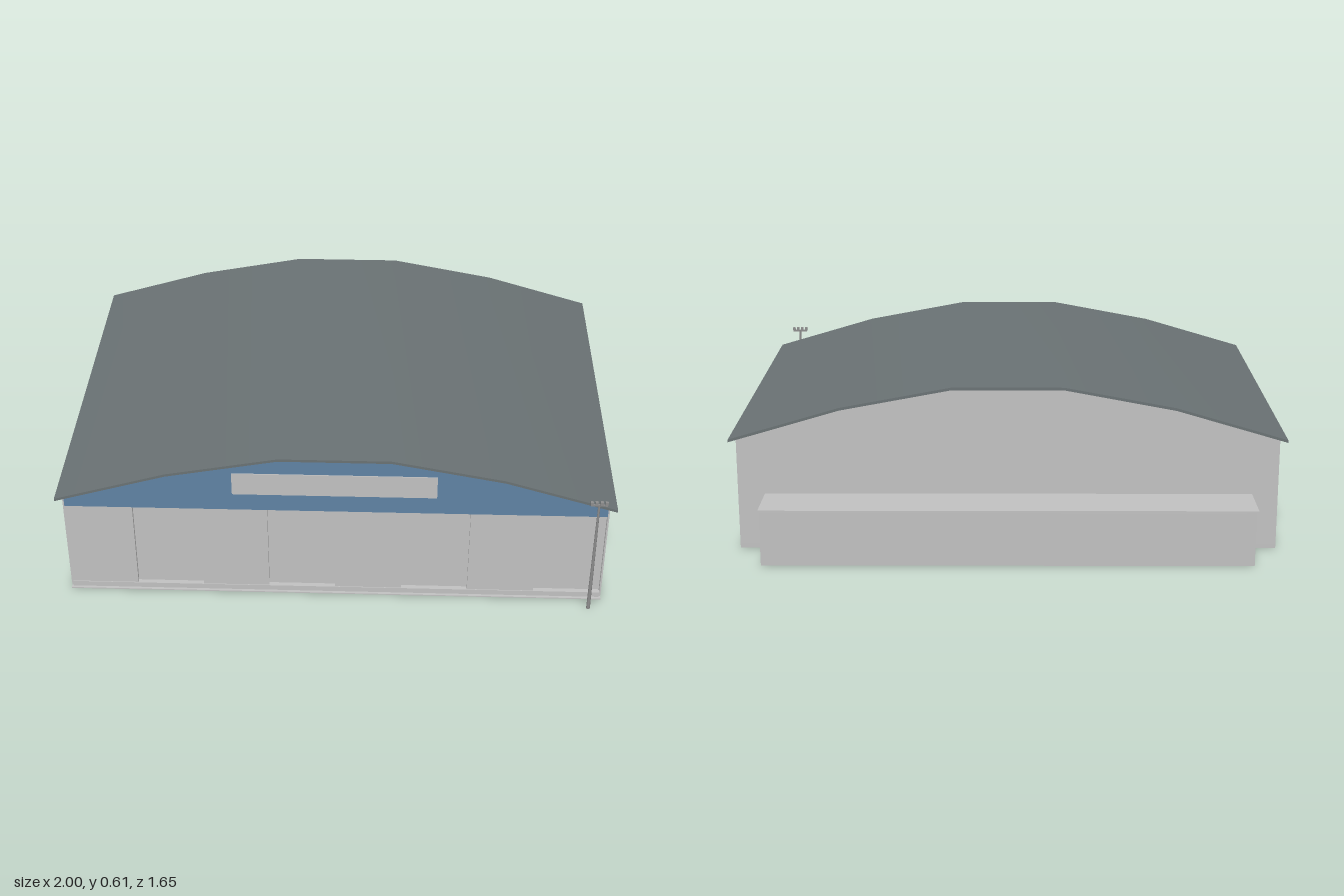
import * as THREE from 'three';
import { toCreasedNormals } from 'three/addons/utils/BufferGeometryUtils.js';

const paint = (name, color, side = THREE.FrontSide) => {
  const m = new THREE.MeshStandardMaterial({ color, side });
  m.name = name;
  return m;
};

// Height of the faceted roof arc at any x
const ARC = [[0, 0.61], [0.2, 0.61], [0.6, 0.535], [1, 0.417]];
const arcY = (x) => {
  const a = Math.abs(x);
  const i = a <= 0.2 ? 0 : a <= 0.6 ? 1 : 2;
  const [x0, y0] = ARC[i], [x1, y1] = ARC[i + 1];
  return y0 + ((y1 - y0) * (a - x0)) / (x1 - x0);
};
const arcPoints = (half, drop) =>
  [-half, -0.6, -0.2, 0.2, 0.6, half].map((x) => new THREE.Vector2(x, arcY(x) - drop));

// Gable-shaped slab between two z planes
const gable = (half, bottom, z0, z1) => {
  const shape = new THREE.Shape([
    new THREE.Vector2(half, bottom), ...arcPoints(half, 0.008).reverse(), new THREE.Vector2(-half, bottom),
  ]);
  return new THREE.ExtrudeGeometry(shape, { depth: z1 - z0, bevelEnabled: false }).translate(0, 0, z0);
};

export function createModel() {
  const model = new THREE.Group();
  model.name = 'hangar';
  const wall = paint('wallGrey', 0xc0c0c0);
  const wallOpen = paint('annexGrey', 0xc0c0c0, THREE.DoubleSide);
  const roofing = paint('roofSlate', 0x697173);
  const blue = paint('gableBlue', 0x5f82a3);
  const steel = paint('poleSteel', 0x8c8c8c);

  const add = (name, geo, mat, parent = model) => {
    const mesh = new THREE.Mesh(geo, mat);
    mesh.name = name;
    parent.add(mesh);
    return mesh;
  };
  // Box given by its limits
  const box = (name, mat, x0, x1, y0, y1, z0, z1, parent) =>
    add(name, new THREE.BoxGeometry(x1 - x0, y1 - y0, z1 - z0)
      .translate((x0 + x1) / 2, (y0 + y1) / 2, (z0 + z1) / 2), mat, parent);

  // Hall with its floor slightly above the ground
  add('hall', gable(0.975, 0.015, -0.64, 0.735), wall);
  for (const s of [-1, 1]) {
    box('sideSkirt', wall, s * 0.9725 - 0.0025, s * 0.9725 + 0.0025, 0, 0.015, -0.64, 0.755);
    box('frontJamb', wall, s * 0.972 - 0.003, s * 0.972 + 0.003, 0.015, 0.41, 0.735, 0.757);
  }
  box('backSkirt', wall, -0.97, 0.97, 0, 0.015, -0.64, -0.635);

  // Front gable with a pale panel
  add('frontGable', gable(0.969, 0.375, 0.735, 0.76), blue);
  box('gablePanel', wall, -0.365, 0.362, 0.445, 0.535, 0.758, 0.763);

  // Sliding doors, alternately on the outer and inner track
  const doors = new THREE.Group();
  doors.name = 'slidingDoors';
  model.add(doors);
  const w = 1.938 / 8;
  for (let i = 0; i < 8; i++) {
    const x = -0.969 + i * w;
    box('doorLeaf', wall, x, x + w, 0.025, 0.375, 0.73, i % 2 ? 0.742 : 0.757, doors);
  }
  box('doorSill', wall, -0.969, 0.969, 0.004, 0.025, 0.735, 0.76);
  box('doorTrack', wall, -0.975, 0.975, 0, 0.004, 0.735, 0.77);

  // Overhanging arched roof
  const section = new THREE.Shape([...arcPoints(1, 0.01), ...arcPoints(1, 0).reverse()]);
  const roof = new THREE.ExtrudeGeometry(section, { depth: 1.435, bevelEnabled: false }).translate(0, 0, -0.66);
  add('roof', toCreasedNormals(roof, 0.4), roofing);

  // Rear annex, open underneath, with a thin flat roof
  const shell = new THREE.BoxGeometry(1.75, 0.2, 0.18).translate(0, 0.1, -0.73);
  const faces = Array.from(shell.index.array);
  faces.splice(18, 6); // bottom face
  shell.setIndex(faces);
  shell.clearGroups();
  add('annex', shell, wallOpen);
  box('annexRoof', wall, -0.882, 0.878, 0.2, 0.208, -0.828, -0.64);

  // Light pole beside the front corner
  const pole = new THREE.Group();
  pole.name = 'lightPole';
  pole.position.set(0.925, 0, 0.818);
  model.add(pole);
  add('mast', new THREE.CylinderGeometry(0.004, 0.007, 0.475, 8).translate(0, 0.2375, 0), steel, pole);
  box('crossbar', steel, -0.03, 0.03, 0.468, 0.474, -0.003, 0.003, pole);
  for (const x of [-0.026, -0.009, 0.009, 0.026]) {
    box('lamp', steel, x - 0.005, x + 0.005, 0.474, 0.486, -0.005, 0.006, pole);
  }
  return model;
}
